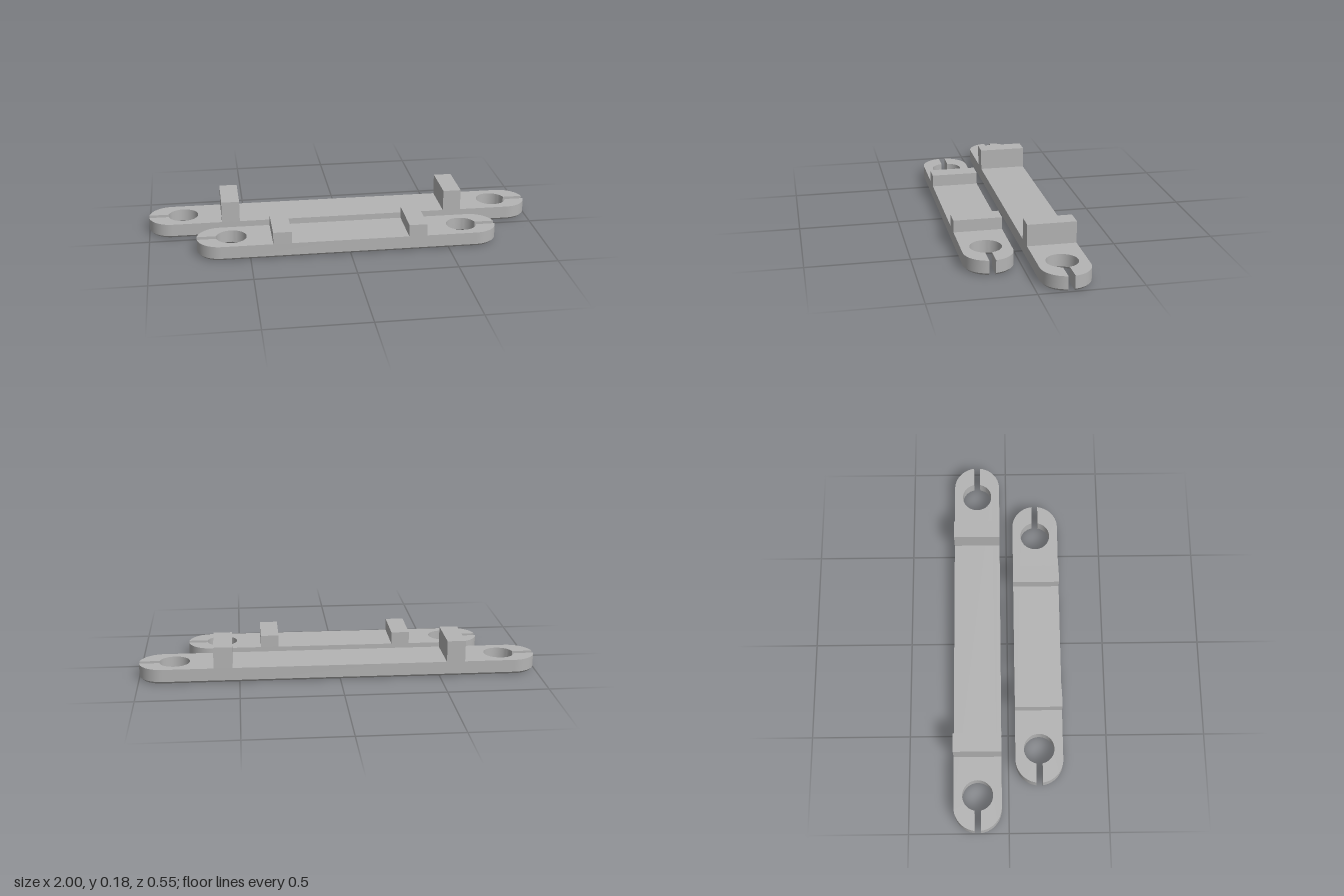
import * as THREE from 'three';
import { toCreasedNormals } from 'three/addons/utils/BufferGeometryUtils.js';

const W = 0.12, HOLE = 0.077, SLOT = 0.016;   // bar half width, hole radius, slot half width
const TOP = 0.075, CHAMFER = 0.012;

// Bar outline: rounded ends, each with a round hole open to the tip through a slot
function outline(halfLength, holeX, inset) {
  const R = W - inset, r = HOLE + inset;
  const A = Math.asin(SLOT / R), a = Math.asin(SLOT / r);
  const end = [];
  const arc = (cx, rad, from, to, n) => {
    for (let i = 0; i <= n; i++) {
      const t = from + (to - from) * i / n;
      end.push(new THREE.Vector2(cx + rad * Math.cos(t), rad * Math.sin(t)));
    }
  };
  arc(halfLength - W, R, -Math.PI / 2, -A, 14);
  arc(holeX, r, -a, a - 2 * Math.PI, 44);
  arc(halfLength - W, R, A, Math.PI / 2, 14);
  return [...end, ...end.map(p => p.clone().negate())];
}

// Loft the outline from the chamfered underside to the flat top
function barGeometry(halfLength, holeX) {
  const wide = outline(halfLength, holeX, 0), narrow = outline(halfLength, holeX, CHAMFER);
  const layers = [[narrow, 0], [wide, CHAMFER], [wide, TOP]];
  const n = wide.length, pos = [], idx = [];
  for (const [pts, h] of layers) for (const p of pts) pos.push(p.x, p.y, h);
  for (let l = 0; l < 2; l++) {
    for (let i = 0; i < n; i++) {
      const a = l * n + i, b = l * n + (i + 1) % n;
      idx.push(a, b, b + n, a, b + n, a + n);
    }
  }
  for (const [a, b, c] of THREE.ShapeUtils.triangulateShape(narrow, [])) idx.push(a, c, b);
  for (const [a, b, c] of THREE.ShapeUtils.triangulateShape(wide, [])) {
    idx.push(a + 2 * n, b + 2 * n, c + 2 * n);
  }
  const geo = new THREE.BufferGeometry();
  geo.setAttribute('position', new THREE.Float32BufferAttribute(pos, 3));
  geo.setIndex(idx);
  geo.rotateX(-Math.PI / 2);
  return toCreasedNormals(geo, Math.PI / 6);
}

export function createModel() {
  const model = new THREE.Group();
  model.name = 'slottedBars';
  const grey = new THREE.MeshStandardMaterial({ color: 0xb4b4b4 });
  grey.name = 'grey';

  const bars = [
    { name: 'longBar', z: -0.155, halfLength: 1, holeX: 0.823, blockX: 0.581, height: 0.183 },
    { name: 'shortBar', z: 0.155, halfLength: 0.762, holeX: 0.588, blockX: 0.341, height: 0.136 },
  ];
  for (const b of bars) {
    const group = new THREE.Group();
    group.name = b.name;
    group.position.z = b.z;
    const plate = new THREE.Mesh(barGeometry(b.halfLength, b.holeX), grey);
    plate.name = 'plate';
    group.add(plate);
    // Pair of raised blocks across the plate
    for (const side of [-1, 1]) {
      const block = new THREE.Mesh(new THREE.BoxGeometry(0.092, b.height - TOP, 2 * W), grey);
      block.name = side > 0 ? 'leftBlock' : 'rightBlock';
      block.position.set(side * b.blockX, (b.height + TOP) / 2, 0);
      group.add(block);
    }
    model.add(group);
  }
  return model;
}
